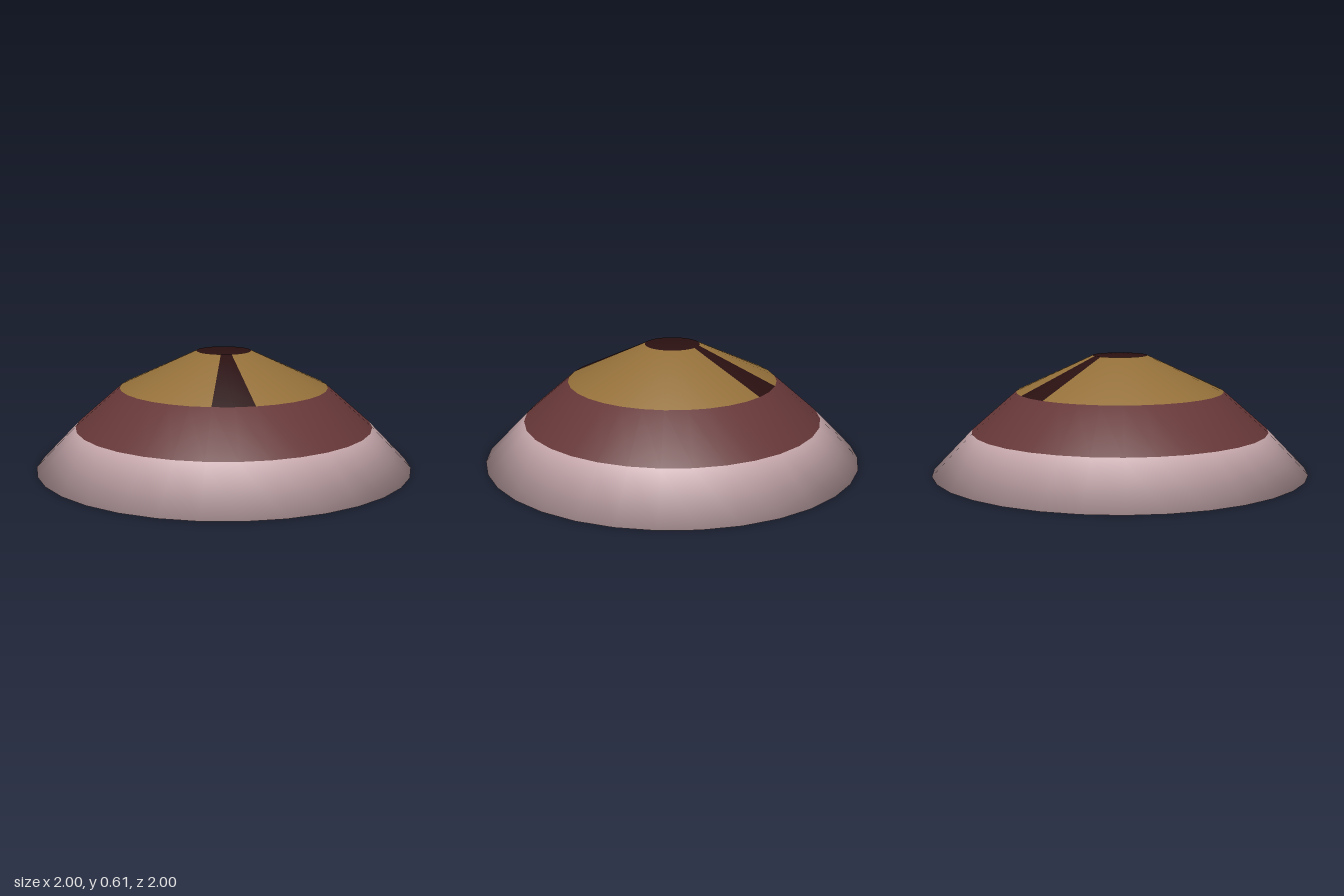
import * as THREE from 'three';

export function createModel() {
  const group = new THREE.Group();
  const material = (name, color) => {
    const m = new THREE.MeshStandardMaterial({ color });
    m.name = name;
    return m;
  };
  const pink = material('dusty pink', 0xc4a6aa);
  const maroon = material('maroon', 0x653637);
  const ochre = material('ochre', 0x94703a);
  const dark = material('dark brown', 0x2a1011);

  const SIDES = 32, STEP = Math.PI * 2 / SIDES;

  // Dome profile from rim to apex, as (radius, height)
  const profile = [[1, 0], [0.79, 0.217], [0.553, 0.424], [0.145, 0.614], [0, 0.614]]
    .map(p => new THREE.Vector2(...p));

  // Smooth normals: each ring averages the faces below and above it
  const faceNormals = [new THREE.Vector2(0, -1)];
  for (let j = 0; j < profile.length - 1; j++) {
    const d = profile[j + 1].clone().sub(profile[j]).normalize();
    faceNormals.push(new THREE.Vector2(d.y, -d.x));
  }
  faceNormals.push(new THREE.Vector2(0, 1));
  const ringNormals = profile.map((p, j) => faceNormals[j].clone().add(faceNormals[j + 1]).normalize());

  const add = (name, geometry, mat) => {
    const mesh = new THREE.Mesh(geometry, mat);
    mesh.name = name;
    group.add(mesh);
  };

  // One band of the dome, between profile points j and j + 1
  const band = (name, mat, j, first = 0, count = SIDES) => {
    const g = new THREE.LatheGeometry([profile[j], profile[j + 1]], count, first * STEP, count * STEP);
    const normal = g.attributes.normal;
    for (let i = 0; i < normal.count; i++) {
      const a = (first + Math.floor(i / 2)) * STEP;
      const n = ringNormals[j + i % 2];
      normal.setXYZ(i, n.x * Math.sin(a), n.y, n.x * Math.cos(a));
    }
    add(name, g, mat);
  };

  band('lowerBand', pink, 0);
  band('middleBand', maroon, 1);
  // Upper band, with a tapering stripe at the front and back
  band('upperBandLeft', ochre, 2, 1, 14);
  band('upperBandRight', ochre, 2, 17, 14);
  band('frontStripe', dark, 2, -1, 2);
  band('backStripe', dark, 2, 15, 2);
  band('topDisc', dark, 3);

  // Flat base, sharing the rim's smooth normals
  const rim = [];
  for (let i = 0; i < SIDES; i++) rim.push(new THREE.Vector2(Math.cos(i * STEP), Math.sin(i * STEP)));
  const base = new THREE.ShapeGeometry(new THREE.Shape(rim)).rotateX(Math.PI / 2);
  const pos = base.attributes.position, n = ringNormals[0];
  for (let i = 0; i < pos.count; i++) {
    base.attributes.normal.setXYZ(i, n.x * pos.getX(i), n.y, n.x * pos.getZ(i));
  }
  add('base', base, pink);

  return group;
}
